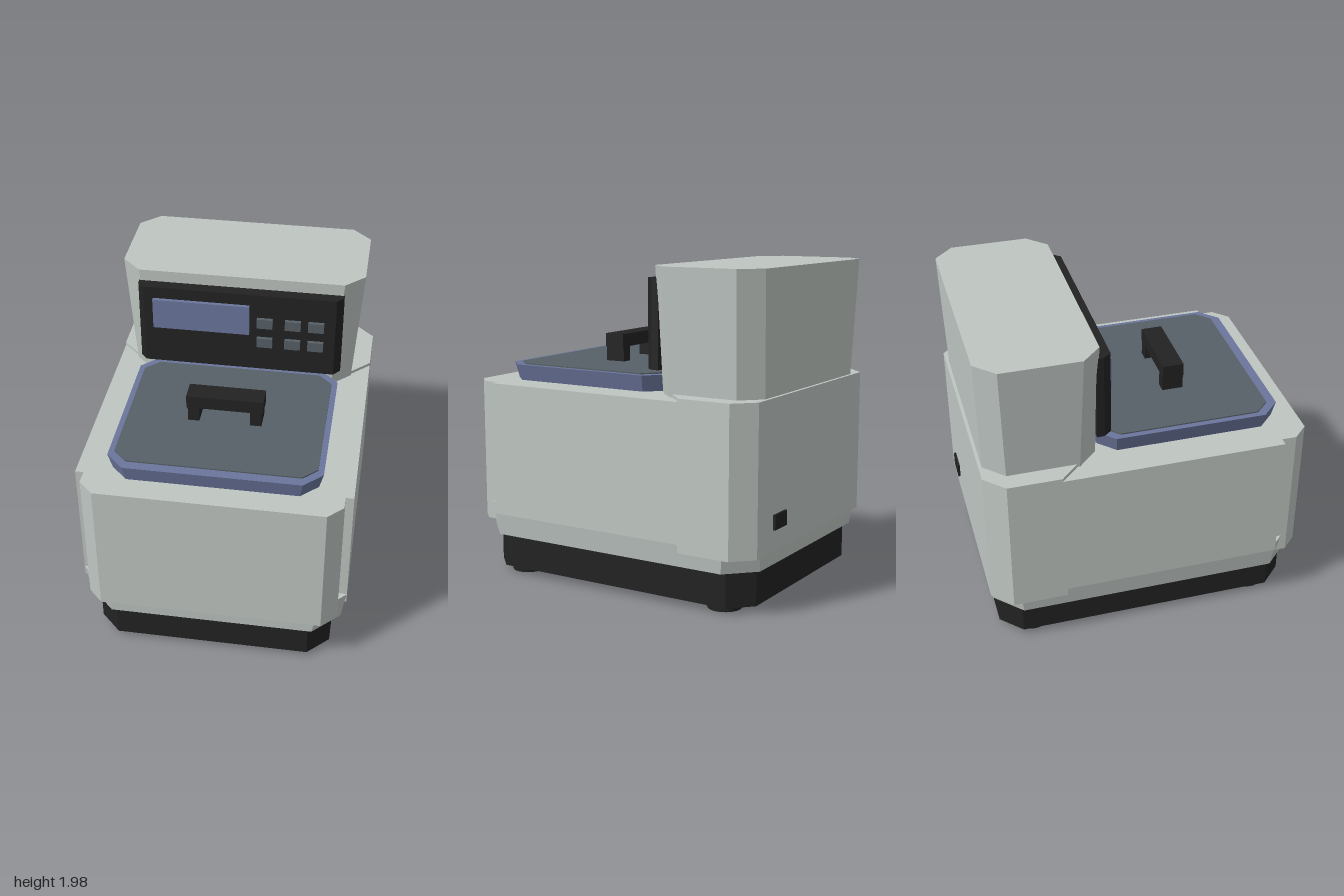
import * as THREE from 'three';

const mat = (name, color) => {
  const m = new THREE.MeshStandardMaterial({ color });
  m.name = name;
  return m;
};

// Rectangle in plan with cut corners: half width x, back z0, front z1, front cut cf, back cut cb
function plan(x, z0, z1, cf, cb = cf) {
  const right = [];
  right.push([x - cf, z1]);
  if (cf) right.push([x, z1 - cf]);
  right.push([x, z0 + cb]);
  if (cb) right.push([x - cb, z0]);
  return mirrored(right);
}

// Complete a right-hand outline (front to back) with its mirror image
const mirrored = (right) => [...right, ...right.map(([x, z]) => [-x, z]).reverse()];

// Flat-sided solid between a lower and an upper convex outline
function loft(y0, lower, y1, upper = lower) {
  const pos = [];
  const lo = lower.map(([x, z]) => [x, y0, z]);
  const hi = upper.map(([x, z]) => [x, y1, z]);
  const n = lo.length;
  for (let i = 0; i < n; i++) {
    const j = (i + 1) % n;
    pos.push(...lo[i], ...lo[j], ...hi[j], ...lo[i], ...hi[j], ...hi[i]);
    if (i > 0 && i < n - 1) {
      pos.push(...hi[0], ...hi[i], ...hi[j], ...lo[0], ...lo[j], ...lo[i]);
    }
  }
  const g = new THREE.BufferGeometry();
  g.setAttribute('position', new THREE.Float32BufferAttribute(pos, 3));
  g.computeVertexNormals();
  return g;
}

// Box given by its limits on each axis
function block(x0, x1, y0, y1, z0, z1) {
  return new THREE.BoxGeometry(x1 - x0, y1 - y0, z1 - z0)
    .translate((x0 + x1) / 2, (y0 + y1) / 2, (z0 + z1) / 2);
}

export function createModel() {
  const shell = mat('light grey shell', 0xbfc6c2);
  const black = mat('black plastic', 0x222222);
  const blue = mat('slate blue', 0x6b769c);
  const slate = mat('dark slate', 0x566067);

  const model = new THREE.Group();
  model.name = 'benchtopInstrument';
  const add = (name, geometry, material, parent = model) => {
    const mesh = new THREE.Mesh(geometry, material);
    mesh.name = name;
    parent.add(mesh);
    return mesh;
  };

  // Base and round feet
  add('base', loft(0.04, plan(0.73, -0.93, 0.94, 0.13)  , 0.26), black);
  for (const x of [-0.595, 0.595]) {
    for (const z of [-0.72, 0.73]) {
      add('foot', new THREE.CylinderGeometry(0.103, 0.103, 0.05, 32).translate(x, 0.025, z), black);
    }
  }

  // Flared skirt, visible in the notch behind the front cover
  add('skirt', loft(0.26, plan(0.79, -0.965, 0.97, 0.165), 0.465, plan(0.818, -0.98, 0.98, 0.155)), shell);

  // Housing in three sections with the side step between them
  add('frontCover', loft(0.35, plan(0.77, 0.82, 1.0, 0.09, 0), 1.23), shell);
  add('middleHousing', loft(0.4, plan(0.82, -0.53, 0.82, 0), 1.23), shell);
  add('rearHousing', loft(0.35, plan(0.82, -0.985, -0.53, 0, 0.12), 1.23), shell);
  add('rearDeck', loft(1.23, mirrored([
    [0.7, -0.42], [0.82, -0.54], [0.82, -0.865], [0.7, -0.985],
  ]), 1.25), shell);

  // Control head, widening upwards
  add('head', loft(1.23, plan(0.705, -0.965, -0.29, 0.12), 1.98, plan(0.757, -0.985, -0.27, 0.118)), shell);

  // Control panel with display and keys
  const panel = new THREE.Group();
  panel.name = 'controlPanel';
  model.add(panel);
  add('panelPlate', loft(1.37, mirrored([
    [0.6, -0.196], [0.64, -0.245], [0.64, -0.29],
  ]), 1.905), black, panel);
  add('display', block(-0.54, 0.065, 1.63, 1.83, -0.2, -0.172), blue, panel);
  for (const x of [0.162, 0.337, 0.481]) {
    for (const y of [1.577, 1.715]) {
      add('key', block(x - 0.049, x + 0.049, y - 0.032, y + 0.032, -0.2, -0.172), slate, panel);
    }
  }

  // Lid with flared rim, inset plate and handle
  const lid = new THREE.Group();
  lid.name = 'lid';
  model.add(lid);
  add('lidRim', loft(1.23, plan(0.61, -0.26, 0.845, 0.1), 1.33, plan(0.635, -0.28, 0.867, 0.11)), blue, lid);
  add('lidPlate', loft(1.33, plan(0.6, -0.22, 0.807, 0.085), 1.338), slate, lid);
  add('handleGrip', block(-0.235, 0.23, 1.43, 1.512, 0.235, 0.365), black, lid);
  for (const s of [-1, 1]) {
    const x = s * 0.189 - 0.003;
    add('handleLeg', block(x - 0.035, x + 0.035, 1.337, 1.43, 0.235, 0.365), black, lid);
  }

  // Power socket on the back
  add('powerSocket', block(0.36, 0.51, 0.48, 0.57, -1.0, -0.98), black);

  return model;
}
